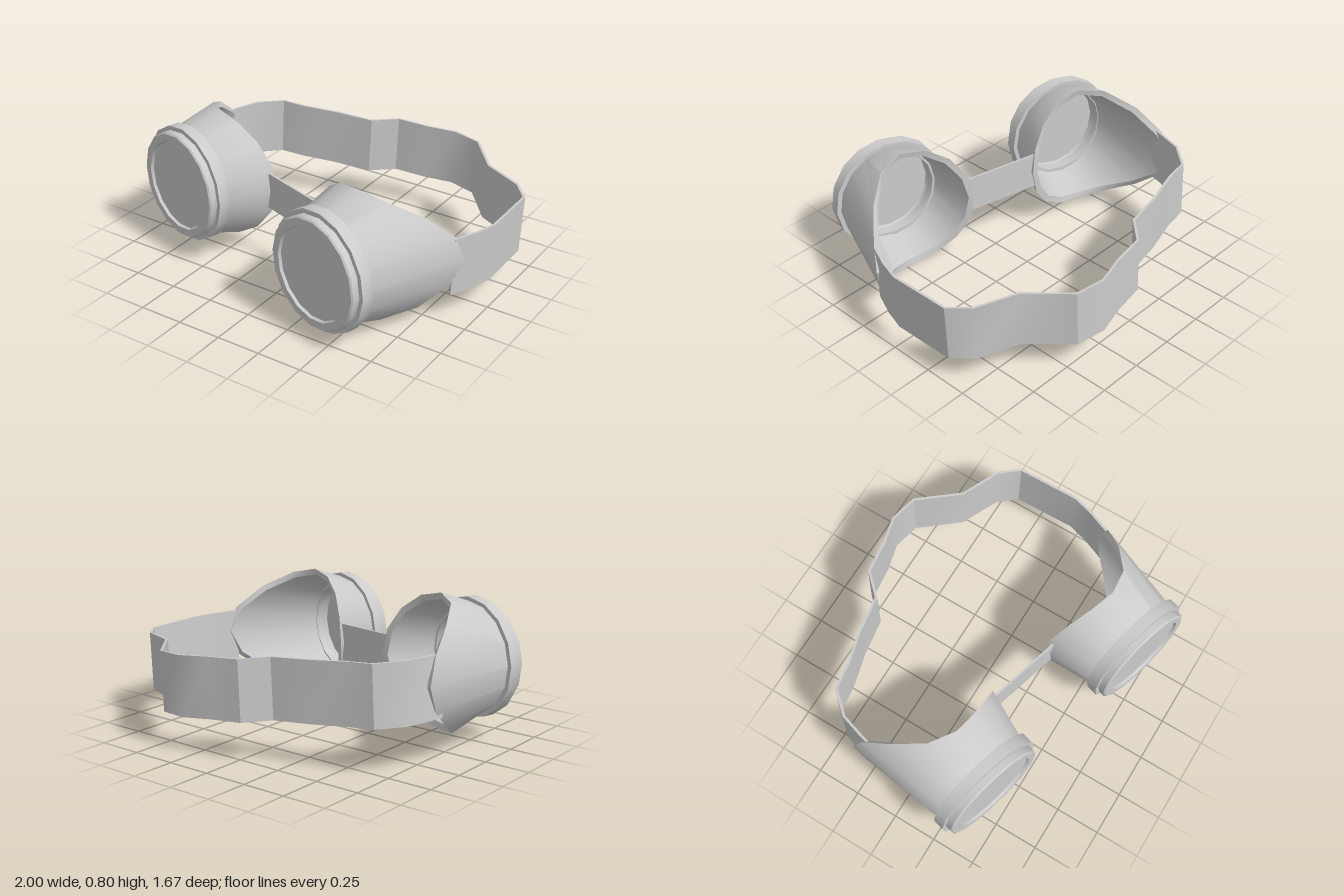
import * as THREE from 'three';
import { toCreasedNormals } from 'three/addons/utils/BufferGeometryUtils.js';

const SIDES = 16;
const grey = new THREE.MeshStandardMaterial({ color: 0xcccccc });

function part(name, geometry, parent) {
  const mesh = new THREE.Mesh(geometry, grey);
  mesh.name = name;
  parent.add(mesh);
  return mesh;
}

// Skins a run of closed four-point sections; the run is a ring or has end caps
function skin(sections, ring) {
  const n = sections.length, index = [];
  for (let i = 0; i < (ring ? n : n - 1); i++) {
    for (let j = 0; j < 4; j++) {
      const next = ((i + 1) % n) * 4, k = (j + 1) % 4;
      const a = i * 4 + j, b = next + j, c = next + k, d = i * 4 + k;
      index.push(a, d, b, b, d, c);
    }
  }
  if (!ring) {
    const e = (n - 1) * 4;
    index.push(0, 2, 1, 0, 3, 2, e, e + 1, e + 2, e, e + 2, e + 3);
  }
  const geometry = new THREE.BufferGeometry();
  geometry.setAttribute('position', new THREE.Float32BufferAttribute(sections.flat(2), 3));
  geometry.setIndex(index);
  return toCreasedNormals(geometry, 0.6);
}

// Flared eye cup whose back edge sweeps far back on the outer side
function cupGeometry(side) {
  const sections = [];
  for (let i = 0; i < SIDES; i++) {
    const angle = (i / SIDES) * Math.PI * 2;
    const x = Math.cos(angle), y = Math.sin(angle), c = x * side;
    const back = -0.298 - (c > 0 ? 0.4 : 0.1) * c * c;
    const profile = [[0.302, -0.09], [0.375, back], [0.34, back + 0.008], [0.257, -0.034]];
    sections.push(profile.map(([r, z]) => [r * x, r * y, z]));
  }
  return skin(sections, true);
}

// Stepped ring that holds the lens
function rimGeometry() {
  const profile = [
    [0.262, -0.034], [0.262, -0.11], [0.33, -0.11], [0.33, -0.045], [0.305, -0.045],
    [0.305, -0.008], [0.297, 0], [0.256, 0], [0.25, -0.016],
  ].map(([r, y]) => new THREE.Vector2(r, y));
  const geometry = new THREE.LatheGeometry(profile, SIDES).rotateX(Math.PI / 2);
  return toCreasedNormals(geometry, 0.6);
}

// Thin head band following a loosely bent path seen from above
function strapGeometry() {
  const path = [
    [-0.85, -0.2], [-0.83, -0.28], [-0.79, -0.41], [-0.68, -0.535], [-0.54, -0.555],
    [-0.34, -0.61], [-0.13, -0.645], [-0.015, -0.765], [0.17, -0.79], [0.33, -0.832],
    [0.49, -0.8], [0.67, -0.585], [0.89, -0.49], [0.98, -0.385], [0.985, -0.03],
    [0.95, 0.09], [0.895, 0.22],
  ];
  const half = 0.165, thick = 0.007, lean = 0.045;
  const sections = path.map(([x, z], i) => {
    const p = path[Math.max(i - 1, 0)], q = path[Math.min(i + 1, path.length - 1)];
    const length = Math.hypot(q[0] - p[0], q[1] - p[1]);
    const nx = (q[1] - p[1]) / length, nz = (p[0] - q[0]) / length;
    const y = 0.385 - 0.06 * x;
    return [[1, -1], [1, 1], [-1, 1], [-1, -1]].map(([out, up]) => [
      x + nx * thick * out + lean * half * up, y + half * up, z + nz * thick * out,
    ]);
  });
  return skin(sections, false);
}

export function createModel() {
  const model = new THREE.Group();
  model.name = 'goggles';

  // Both eyepieces and the bridge share one slightly turned and tilted frame
  const front = new THREE.Group();
  front.name = 'frontFrame';
  front.position.set(-0.148, 0.412, 0.6);
  front.rotation.set(0, -0.267, -0.044, 'YXZ');
  model.add(front);

  for (const side of [-1, 1]) {
    const eye = new THREE.Group();
    eye.name = side > 0 ? 'leftEyepiece' : 'rightEyepiece';
    eye.position.x = side * 0.5635;
    front.add(eye);
    part('eyeCup', cupGeometry(side), eye);
    part('lensRim', rimGeometry(), eye);
    const lens = new THREE.CylinderGeometry(0.262, 0.262, 0.018, SIDES).rotateX(Math.PI / 2);
    part('lens', lens, eye).position.z = -0.025;
  }

  part('noseBridge', new THREE.BoxGeometry(0.44, 0.21, 0.012), front).position.z = -0.365;
  part('headStrap', strapGeometry(), model);
  return model;
}
